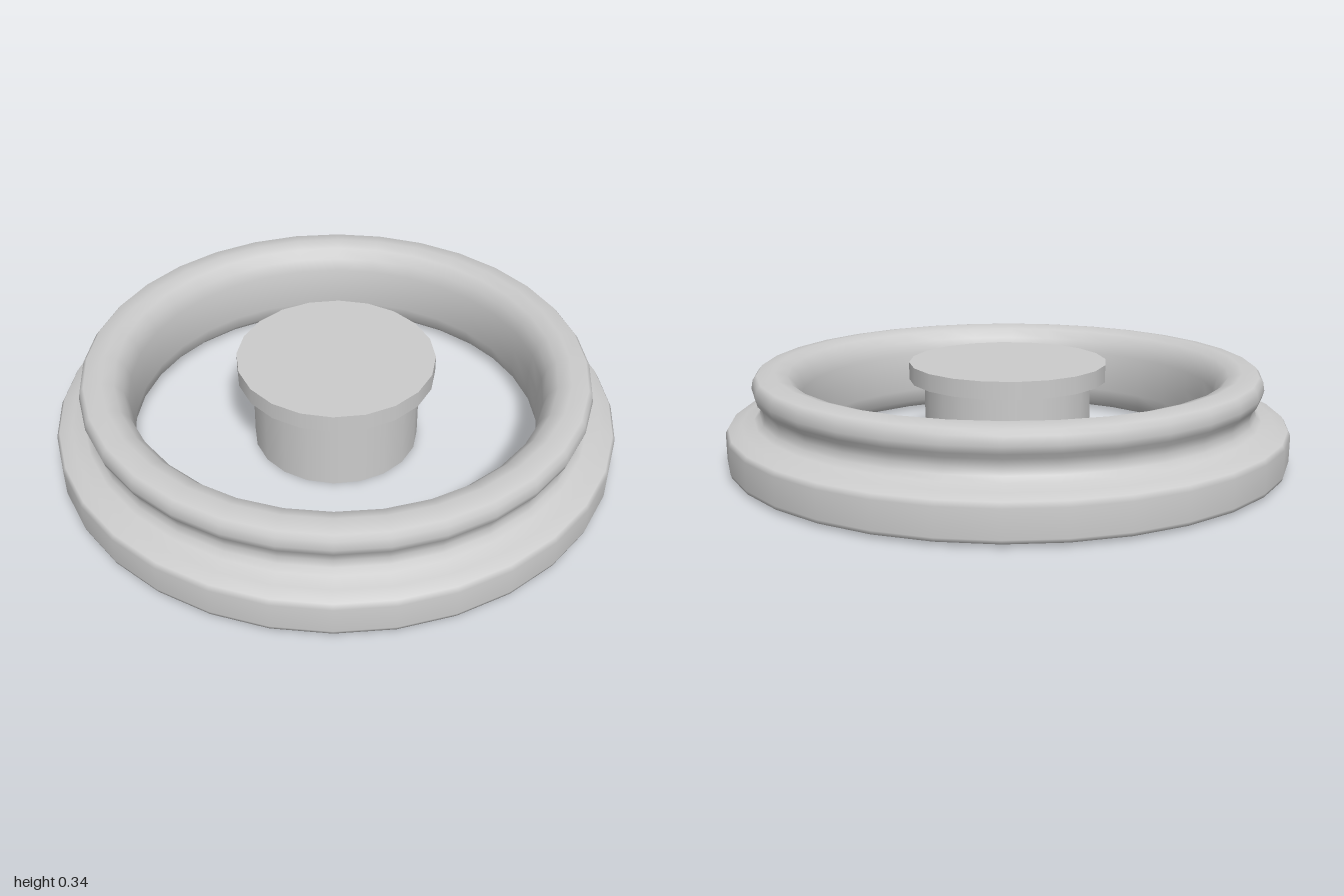
import * as THREE from 'three';

export function createModel() {
  const model = new THREE.Group();
  const material = new THREE.MeshStandardMaterial({ color: 0xcccccc });

  // Outer ring: closed section running out along the base, up the outside,
  // over the rounded bead and down the inner wall
  const section = [
    [0.88, 0.01], [0.985, 0.01], [1.0, 0.012], [1.004, 0.025],
    [1.005, 0.12], [0.995, 0.137], [0.95, 0.15], [0.905, 0.163],
    [0.886, 0.18], [0.88, 0.205], [0.886, 0.232], [0.902, 0.25],
    [0.909, 0.275], [0.904, 0.305], [0.89, 0.322], [0.83, 0.332],
    [0.785, 0.318], [0.755, 0.285], [0.74, 0.24], [0.732, 0.17],
    [0.732, 0.09], [0.742, 0.04], [0.77, 0.012], [0.88, 0.01],
  ].map(([r, y]) => new THREE.Vector2(r, y));
  const ring = new THREE.Mesh(
    new THREE.LatheGeometry(section, 32, Math.PI / 32), material);
  ring.name = 'outerRing';
  model.add(ring);

  // Central hub: a shaft under a wider cap
  const addDisc = (name, radius, bottom, top) => {
    const disc = new THREE.Mesh(
      new THREE.CylinderGeometry(radius, radius, top - bottom, 20), material);
    disc.position.y = (bottom + top) / 2;
    disc.name = name;
    model.add(disc);
  };
  addDisc('hubShaft', 0.3, 0, 0.28);
  addDisc('hubCap', 0.355, 0.28, 0.342);

  return model;
}
